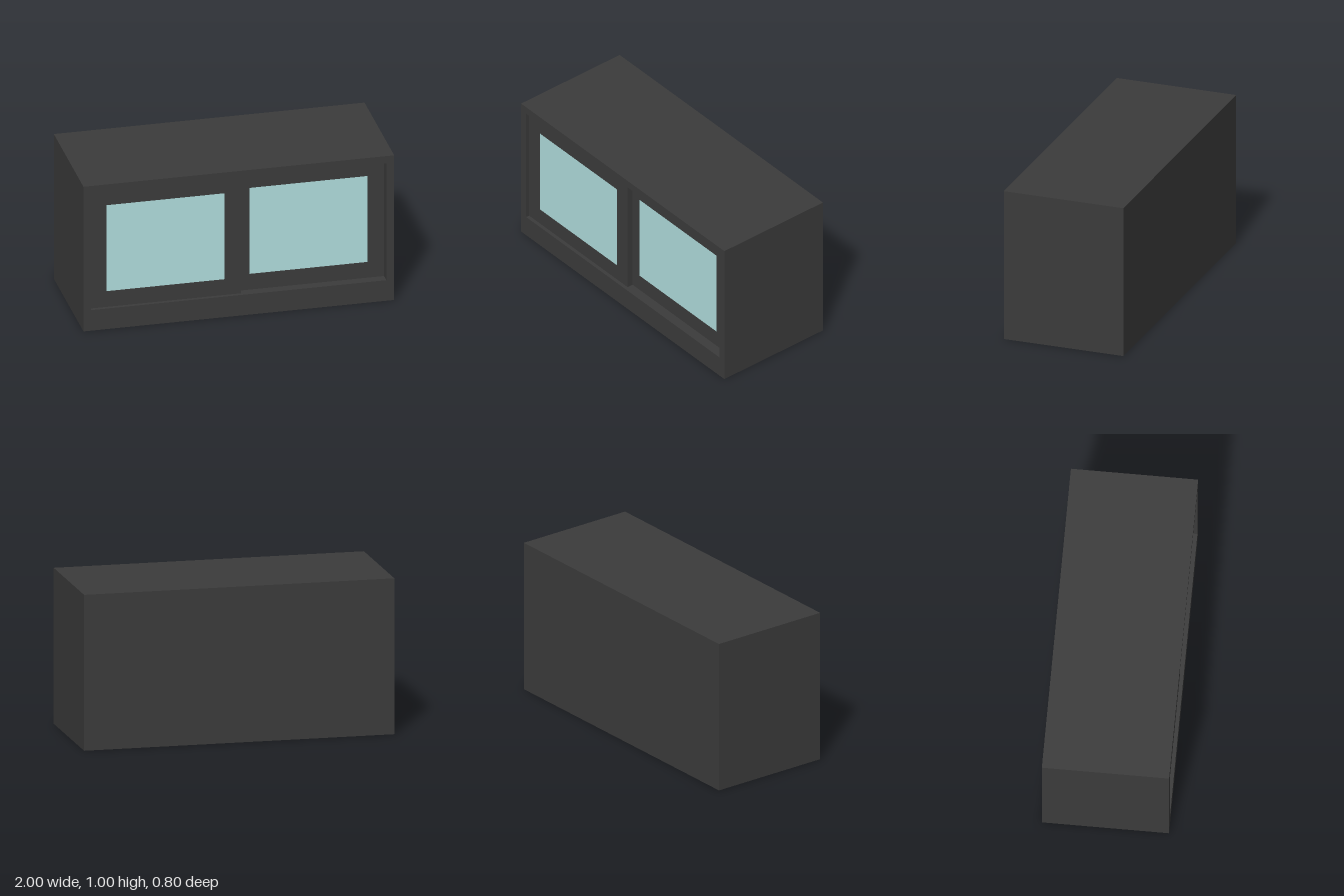
import * as THREE from 'three';

const dark = new THREE.MeshStandardMaterial({ color: 0x3b3b3b });
const glass = new THREE.MeshStandardMaterial({ color: 0xb0dddd });

// Rectangular frame: outer and inner given as [x0, y0, x1, y1], front face at z
function frame(name, outer, inner, depth, z) {
  const corners = ([x0, y0, x1, y1]) => [[x0, y0], [x1, y0], [x1, y1], [x0, y1]]
    .map(([x, y]) => new THREE.Vector2(x, y));
  const shape = new THREE.Shape(corners(outer));
  shape.holes.push(new THREE.Path(corners(inner).reverse()));
  const geometry = new THREE.ExtrudeGeometry(shape, { depth, bevelEnabled: false });
  const mesh = new THREE.Mesh(geometry, dark);
  mesh.name = name;
  mesh.position.z = z - depth;
  return mesh;
}

// Solid panel filling a rectangle, front face at z
function panel(name, [x0, y0, x1, y1], depth, z, material) {
  const mesh = new THREE.Mesh(new THREE.BoxGeometry(x1 - x0, y1 - y0, depth), material);
  mesh.name = name;
  mesh.position.set((x0 + x1) / 2, (y0 + y1) / 2, z - depth / 2);
  return mesh;
}

// Sliding door: framed pane, flush with the front of its frame
function slidingDoor(name, outer, pane, z) {
  const door = new THREE.Group();
  door.name = name;
  door.add(frame('doorFrame', outer, pane, 0.04, z));
  door.add(panel('glassPane', pane, 0.036, z - 0.002, glass));
  return door;
}

export function createModel() {
  const model = new THREE.Group();
  model.name = 'slidingDoorCabinet';

  // Hollow carcass with a deep plinth below the opening, closed at the back
  const opening = [-0.95, 0.142, 0.95, 0.95];
  model.add(frame('carcass', [-1, 0, 1, 1], opening, 0.8, 0.4));
  model.add(panel('backPanel', opening, 0.04, -0.36, dark));

  // Two doors on separate tracks, overlapping at the middle
  model.add(slidingDoor('rightDoor', [-0.95, 0.142, 0.02, 0.95], [-0.845, 0.25, -0.085, 0.845], 0.376));
  model.add(slidingDoor('leftDoor', [-0.02, 0.142, 0.95, 0.95], [0.085, 0.25, 0.845, 0.845], 0.336));

  return model;
}
